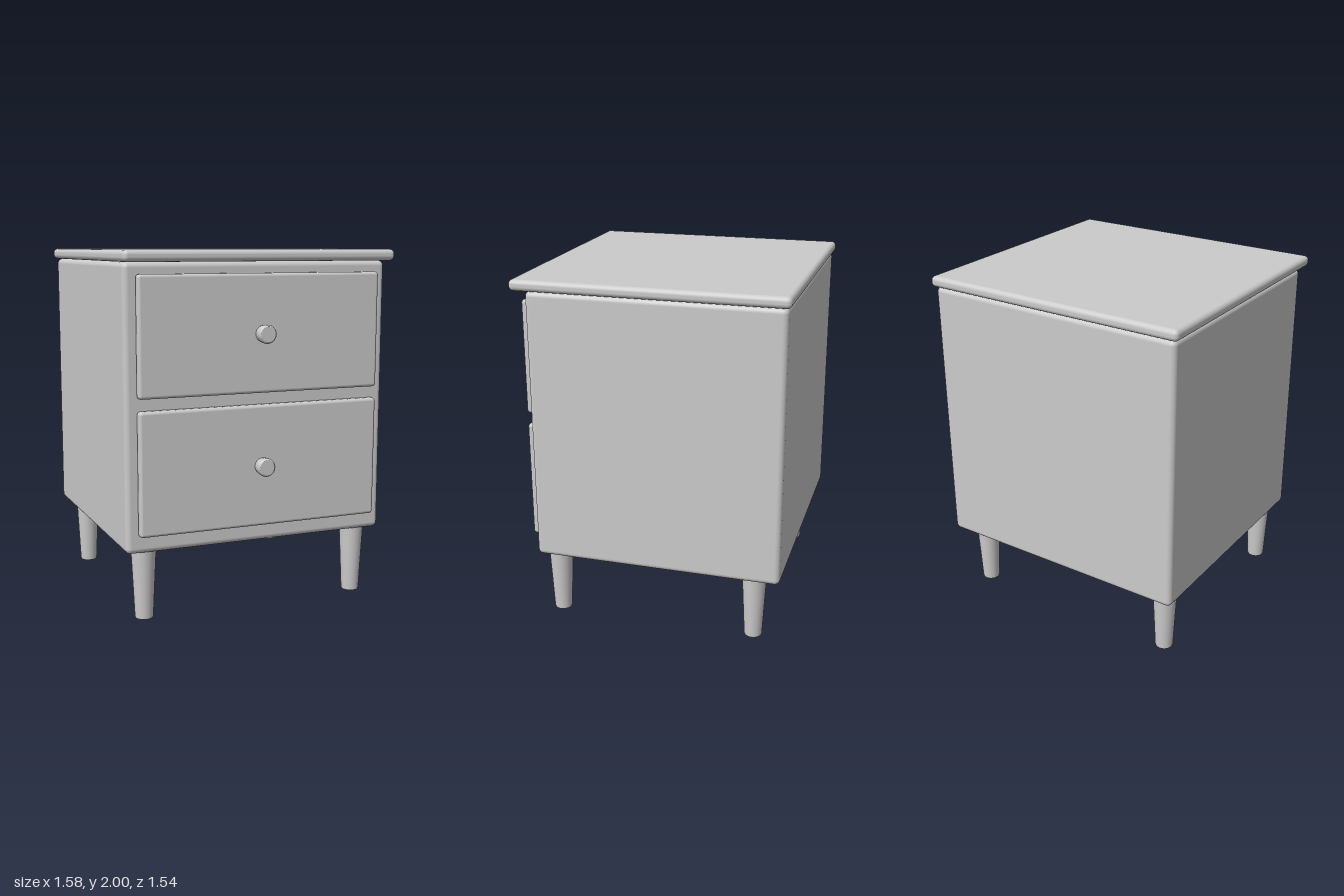
import * as THREE from 'three';
import { RoundedBoxGeometry } from 'three/addons/geometries/RoundedBoxGeometry.js';

const material = new THREE.MeshStandardMaterial({ color: 0xcccccc });

// Rounded box given by its extents on each axis
function slab(name, [x0, x1], [y0, y1], [z0, z1], radius) {
  const geometry = new RoundedBoxGeometry(x1 - x0, y1 - y0, z1 - z0, 4, radius);
  const mesh = new THREE.Mesh(geometry, material);
  mesh.position.set((x0 + x1) / 2, (y0 + y1) / 2, (z0 + z1) / 2);
  mesh.name = name;
  return mesh;
}

// Turned part from [radius, height] pairs; doubled points keep an edge sharp
function turned(name, profile) {
  const points = profile.map(([r, y]) => new THREE.Vector2(r, y));
  const mesh = new THREE.Mesh(new THREE.LatheGeometry(points, 40), material);
  mesh.name = name;
  return mesh;
}

export function createModel() {
  const model = new THREE.Group();
  model.name = 'nightstand';

  // Cabinet and overhanging top
  model.add(slab('cabinet', [-0.77, 0.77], [0.39, 1.938], [-0.755, 0.66], 0.03));
  model.add(slab('tabletop', [-0.79, 0.79], [1.938, 2], [-0.772, 0.742], 0.026));

  // Drawer fronts, each with a round knob
  const drawers = [
    { name: 'upper', y: [1.23, 1.876], knobY: 1.553 },
    { name: 'lower', y: [0.488, 1.165], knobY: 0.827 },
  ];
  for (const { name, y, knobY } of drawers) {
    model.add(slab(name + 'Drawer', [-0.706, 0.706], y, [0.655, 0.708], 0.018));
    const knob = turned(name + 'Knob', [
      [0, 0], [0.045, 0], [0.045, 0], [0.05, 0.03], [0.051, 0.055],
      [0.048, 0.064], [0.042, 0.067], [0.042, 0.067], [0, 0.067],
    ]);
    knob.rotation.x = Math.PI / 2;
    knob.position.set(0, knobY, 0.705);
    model.add(knob);
  }

  // Tapered legs
  for (const [end, z] of [['front', 0.564], ['back', -0.594]]) {
    for (const [side, x] of [['left', 0.645], ['right', -0.645]]) {
      const leg = turned(end + side[0].toUpperCase() + side.slice(1) + 'Leg', [
        [0, 0], [0.048, 0], [0.048, 0], [0.051, 0.008], [0.06, 0.2],
        [0.067, 0.34], [0.07, 0.4], [0.07, 0.4], [0, 0.4],
      ]);
      leg.position.set(x, 0, z);
      model.add(leg);
    }
  }
  return model;
}
